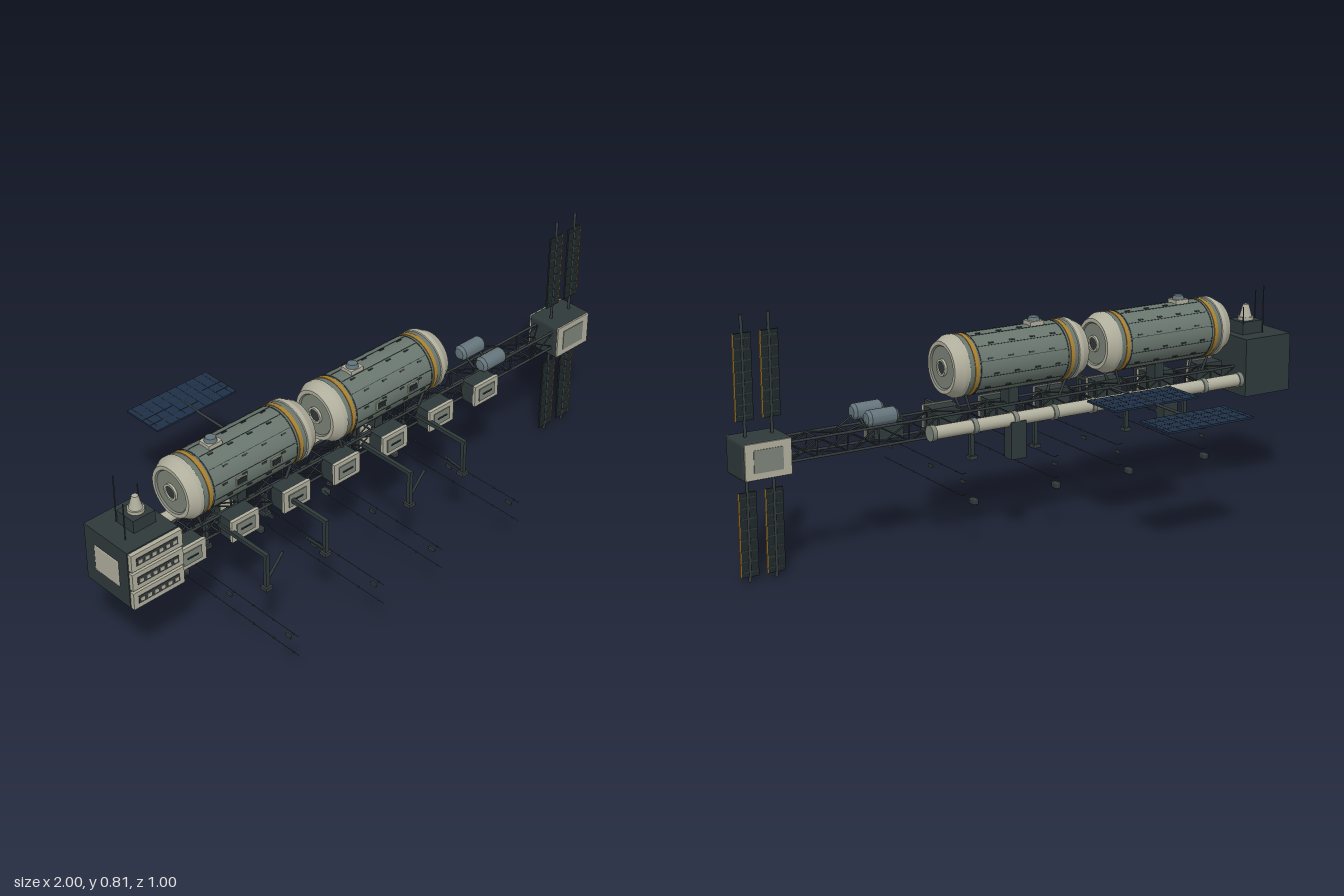
import * as THREE from 'three';
import { toCreasedNormals } from 'three/addons/utils/BufferGeometryUtils.js';
import { RoundedBoxGeometry } from 'three/addons/geometries/RoundedBoxGeometry.js';

const mat = (color) => new THREE.MeshStandardMaterial({ color });
const HULL = mat(0x68756d), LIGHT = mat(0xb0ae9c), DARK = mat(0x2f393a), STEEL = mat(0x353b3d);
const GOLD = mat(0xa87f30), BLUE = mat(0x1f3048), CELL = mat(0x1f2729), SLATE = mat(0x64747a), PANEL = mat(0x7c8378);
const ZC = 0.037; // centre line of the station

const V = (x, y, z) => new THREE.Vector3(x, y, z);

function add(parent, name, geo, material, x = 0, y = 0, z = 0) {
  const m = new THREE.Mesh(geo, material);
  m.name = name;
  m.position.set(x, y, z);
  parent.add(m);
  return m;
}
const box = (p, name, material, w, h, d, x, y, z) => add(p, name, new THREE.BoxGeometry(w, h, d), material, x, y, z);

// Round bar between two points
function bar(p, name, material, a, b, r, sides = 6) {
  const m = add(p, name, new THREE.CylinderGeometry(r, r, a.distanceTo(b), sides), material);
  m.position.copy(a).lerp(b, 0.5);
  m.quaternion.setFromUnitVectors(V(0, 1, 0), b.clone().sub(a).normalize());
  return m;
}

// Turned body lying along x; profile is [radius, x] pairs
function turned(p, name, material, profile, x, y, z, sides = 40) {
  const g = new THREE.LatheGeometry(profile.map(([r, h]) => new THREE.Vector2(r, h)), sides);
  g.rotateZ(-Math.PI / 2);
  return add(p, name, toCreasedNormals(g, 0.5), material, x, y, z);
}

function group(parent, name, x = 0, y = 0, z = 0) {
  const g = new THREE.Group();
  g.name = name;
  g.position.set(x, y, z);
  parent.add(g);
  return g;
}

// Large pressurised cylinder with caps, bands, windows and hatch
function habitat(root, cx) {
  const g = group(root, 'habitatCylinder', cx, 0.565, ZC);
  turned(g, 'hull', HULL, [[0.094, -0.205], [0.096, -0.205], [0.096, 0.205], [0.094, 0.205]], 0, 0, 0);
  for (const s of [-1, 1]) {
    const cap = turned(g, 'endCap', LIGHT, [[0.096, 0.198], [0.099, 0.2], [0.099, 0.215], [0.082, 0.246], [0.07, 0.246]], 0, 0, 0);
    const face = turned(g, 'endFace', PANEL, [[0.07, 0.246], [0.066, 0.241], [0.026, 0.241]], 0, 0, 0);
    const ring = turned(g, 'dockingRing', LIGHT, [[0.027, 0.238], [0.027, 0.249], [0.02, 0.249], [0.02, 0.243]], 0, 0, 0);
    const port = turned(g, 'dockingPort', DARK, [[0.02, 0.244], [0, 0.244]], 0, 0, 0);
    if (s < 0) [cap, face, ring, port].forEach((m) => (m.rotation.y = Math.PI));
    turned(g, 'goldBand', GOLD, [[0.095, -0.007], [0.0985, -0.007], [0.0985, 0.007], [0.095, 0.007]], s * 0.175, 0, 0);
    turned(g, 'seamRing', DARK, [[0.095, -0.002], [0.097, -0.002], [0.097, 0.002], [0.095, 0.002]], s * 0.16, 0, 0);
  }
  // Lengthwise seams and small plates around the hull
  for (let i = 0; i < 12; i++) {
    const a = (i + 0.5) / 12 * Math.PI * 2;
    const row = group(g, 'hullSeams');
    row.rotation.x = a;
    box(row, 'seam', DARK, 0.31, 0.002, 0.0016, 0, 0.096, 0);
    for (let k = 0; k < 4; k++) box(row, 'plate', STEEL, 0.018, 0.003, 0.005, -0.12 + k * 0.075 + (i % 2) * 0.02, 0.0965, 0.008);
  }
  for (const x of [-0.06, 0.075]) {
    box(g, 'windowFrame', LIGHT, 0.042, 0.028, 0.008, x, 0.002, 0.095);
    box(g, 'window', CELL, 0.034, 0.02, 0.008, x, 0.002, 0.0965);
  }
  box(g, 'hatchBase', LIGHT, 0.05, 0.014, 0.045, -0.09, 0.1, 0);
  add(g, 'hatch', new THREE.CylinderGeometry(0.016, 0.02, 0.012, 16), SLATE, -0.09, 0.113, 0);
  // Saddles down to the truss
  box(g, 'pedestal', DARK, 0.034, 0.06, 0.05, 0, -0.115, 0);
  for (const s of [-1, 1]) for (const t of [-1, 1])
    bar(g, 'saddleStrut', STEEL, V(s * 0.185, -0.085, t * 0.04), V(s * 0.165, -0.14, t * 0.034), 0.005);
}

// Four-rail lattice truss
function truss(root) {
  const g = group(root, 'truss');
  const x0 = -0.82, x1 = 0.85, n = 16, step = (x1 - x0) / n, ys = [0.363, 0.423], zs = [ZC - 0.035, ZC + 0.035];
  for (const y of ys) for (const z of zs) bar(g, 'rail', STEEL, V(x0, y, z), V(x1, y, z), 0.0045);
  for (let i = 0; i <= n; i++) {
    const x = x0 + i * step;
    for (const z of zs) bar(g, 'post', STEEL, V(x, ys[0], z), V(x, ys[1], z), 0.003);
    for (const y of ys) bar(g, 'crossBar', STEEL, V(x, y, zs[0]), V(x, y, zs[1]), 0.003);
    if (i === n) break;
    const f = i % 2;
    for (const z of zs) {
      bar(g, 'diagonal', STEEL, V(x, ys[f], z), V(x + step, ys[1 - f], z), 0.0025);
      bar(g, 'diagonal', STEEL, V(x, ys[1 - f], z), V(x + step, ys[f], z), 0.0025);
    }
    for (const y of ys) bar(g, 'diagonal', STEEL, V(x, y, zs[f]), V(x + step, y, zs[1 - f]), 0.0025);
  }
}

// Command block at the -x end
function commandBlock(root) {
  const g = group(root, 'commandBlock');
  box(g, 'core', DARK, 0.185, 0.195, 0.195, -0.905, 0.428, 0.035);
  for (let i = 0; i < 3; i++) {
    const y = 0.358 + i * 0.067;
    box(g, 'deckFront', LIGHT, 0.185, 0.058, 0.02, -0.902, y, 0.137);
    box(g, 'deckBand', STEEL, 0.15, 0.026, 0.006, -0.902, y, 0.146);
    for (let k = 0; k < 6; k++) box(g, 'deckWindow', LIGHT, 0.014, 0.012, 0.004, -0.965 + k * 0.025, y, 0.149);
  }
  add(g, 'sidePanel', new RoundedBoxGeometry(0.008, 0.09, 0.11, 2, 0.003), LIGHT, -0.996, 0.428, 0.035);
  box(g, 'roofBox', DARK, 0.08, 0.045, 0.075, -0.885, 0.545, ZC);
  add(g, 'domeBase', new THREE.CylinderGeometry(0.026, 0.026, 0.012, 20), LIGHT, -0.885, 0.572, ZC);
  add(g, 'beacon', new THREE.CylinderGeometry(0.01, 0.022, 0.045, 20), LIGHT, -0.885, 0.597, ZC);
  for (const [x, top, z] of [[-0.96, 0.65, 0.08], [-0.925, 0.685, -0.005], [-0.846, 0.62, 0.0]])
    bar(g, 'antenna', STEEL, V(x, 0.52, z), V(x, top, z), 0.002);
}

// Power block at the +x end with vertical wings
function powerBlock(root) {
  const g = group(root, 'powerBlock');
  add(g, 'core', new RoundedBoxGeometry(0.16, 0.12, 0.12, 2, 0.012), DARK, 0.918, 0.39, 0.034);
  for (const s of [-1, 1]) {
    box(g, 'facePanel', LIGHT, 0.15, 0.11, 0.006, 0.918, 0.39, 0.034 + s * 0.06);
    box(g, 'faceInset', PANEL, 0.095, 0.07, 0.006, 0.918, 0.39, 0.034 + s * 0.062);
  }
  for (const x of [0.873, 0.96]) {
    bar(g, 'wingMast', STEEL, V(x, 0.002, ZC), V(x, 0.815, ZC), 0.005);
    for (const y of [0.15, 0.63]) {
      box(g, 'solarWing', CELL, 0.058, 0.262, 0.006, x, y, ZC);
      box(g, 'wingTrim', GOLD, 0.003, 0.262, 0.007, x + 0.029, y, ZC);
      for (let k = 0; k < 8; k++) box(g, 'cellLine', STEEL, 0.05, 0.003, 0.0075, x, y - 0.115 + k * 0.033, ZC);
    }
  }
}

// Flat solar array reaching out behind
function rearArray(root) {
  const g = group(root, 'rearArray', -0.31, 0.424, 0);
  bar(g, 'boom', STEEL, V(0, 0, 0.01), V(0, 0, -0.45), 0.005);
  for (const z of [-0.178, -0.458]) {
    box(g, 'solarPanel', BLUE, 0.322, 0.006, 0.15, 0, 0, z);
    for (let k = 0; k < 9; k++) box(g, 'cellLine', CELL, 0.002, 0.007, 0.15, -0.144 + k * 0.036, 0, z);
    for (const d of [-0.037, 0, 0.037]) box(g, 'cellLine', CELL, 0.322, 0.007, 0.002, 0, 0, z + d);
  }
}

// Outrigger arm with leg, foot and diagonal brace leaning by dir
function outrigger(root, x, dir) {
  const g = group(root, 'outrigger', x, 0, 0);
  box(g, 'arm', DARK, 0.013, 0.013, 0.215, 0, 0.391, 0.177);
  box(g, 'leg', DARK, 0.013, 0.12, 0.013, 0, 0.335, 0.276);
  box(g, 'foot', STEEL, 0.026, 0.012, 0.026, 0, 0.274, 0.276);
  bar(g, 'brace', DARK, V(0, 0.285, 0.27), V(dir * 0.07, 0.365, 0.27), 0.005);
  box(g, 'innerLeg', DARK, 0.013, 0.09, 0.013, 0, 0.32, 0.005);
  box(g, 'innerFoot', STEEL, 0.026, 0.012, 0.026, 0, 0.274, 0.005);
}

// Thin guide lines with markers, floating below
function guideLines(root, x, dir) {
  const g = group(root, 'guideLines', x, 0, 0);
  for (const y of [0.165, 0.235]) {
    bar(g, 'line', STEEL, V(0, y, 0.47), V(0, y, -0.025), 0.0012, 4);
    bar(g, 'lineEnd', STEEL, V(0, y, -0.025), V(0, y + 0.011, -0.05), 0.0012, 4);
    for (const z of [0.448, 0.362, 0.275, 0.188, 0.102, 0.015]) box(g, 'bead', STEEL, 0.005, 0.005, 0.005, 0, y, z);
  }
  for (const z of [0.427, 0.167, -0.028]) box(g, 'marker', STEEL, 0.006, 0.01, 0.024, 0, 0.213, z);
  add(g, 'buoy', new RoundedBoxGeometry(0.02, 0.02, 0.03, 2, 0.005), DARK, dir * 0.018, 0.155, -0.063);
}

export function createModel() {
  const root = new THREE.Group();
  root.name = 'spaceStation';
  truss(root);
  habitat(root, -0.5125);
  habitat(root, 0.05);
  commandBlock(root);
  powerBlock(root);
  rearArray(root);

  // Equipment modules along the front of the truss
  for (let i = 0; i < 7; i++) {
    const g = group(root, 'equipmentModule', -0.765 + i * 0.205, 0.392, 0.1);
    box(g, 'housing', DARK, 0.1, 0.07, 0.055, 0, 0, -0.004);
    box(g, 'frame', LIGHT, 0.106, 0.074, 0.01, 0, 0, 0.026);
    box(g, 'panel', PANEL, 0.07, 0.045, 0.006, 0, 0, 0.031);
    box(g, 'handle', DARK, 0.04, 0.004, 0.004, 0, 0, 0.035);
  }

  // Jointed service pipe along the back
  const pipe = group(root, 'servicePipe', 0, 0.393, -0.056);
  bar(pipe, 'pipe', LIGHT, V(-0.79, 0, 0), V(0.385, 0, 0), 0.021, 20);
  for (let i = 0; i <= 8; i++) {
    const x = -0.785 + i * 0.1465;
    bar(pipe, 'collar', PANEL, V(x - 0.008, 0, 0), V(x + 0.008, 0, 0), 0.025, 20);
    bar(pipe, 'bracket', STEEL, V(x, 0, 0.015), V(x, 0, 0.06), 0.004);
  }

  // Hanging radiator boxes
  for (const x of [-0.492, 0.09]) {
    box(root, 'hangingBox', DARK, 0.054, 0.12, 0.042, x, 0.33, -0.06);
    box(root, 'hangingBoxFace', LIGHT, 0.05, 0.085, 0.004, x, 0.316, -0.038);
  }

  // Twin fuel tanks
  for (const z of [-0.012, 0.081]) {
    turned(root, 'fuelTank', SLATE, [[0, -0.055], [0.018, -0.052], [0.026, -0.042], [0.026, 0.042], [0.018, 0.052], [0, 0.055]], 0.535, 0.458, z, 24);
    for (const x of [0.505, 0.565]) bar(root, 'tankStrut', STEEL, V(x, 0.45, z), V(x, 0.42, ZC), 0.004);
    bar(root, 'tankPipe', STEEL, V(0.58, 0.45, z), V(0.64, 0.425, z * 0.6 + 0.015), 0.003);
  }

  // Outriggers and guide lines, mirrored under each habitat
  for (const c of [-0.4925, 0.0925]) for (const s of [-1, 1]) {
    outrigger(root, c + s * 0.1175, -s);
    guideLines(root, c + s * 0.17, -s);
  }
  return root;
}
